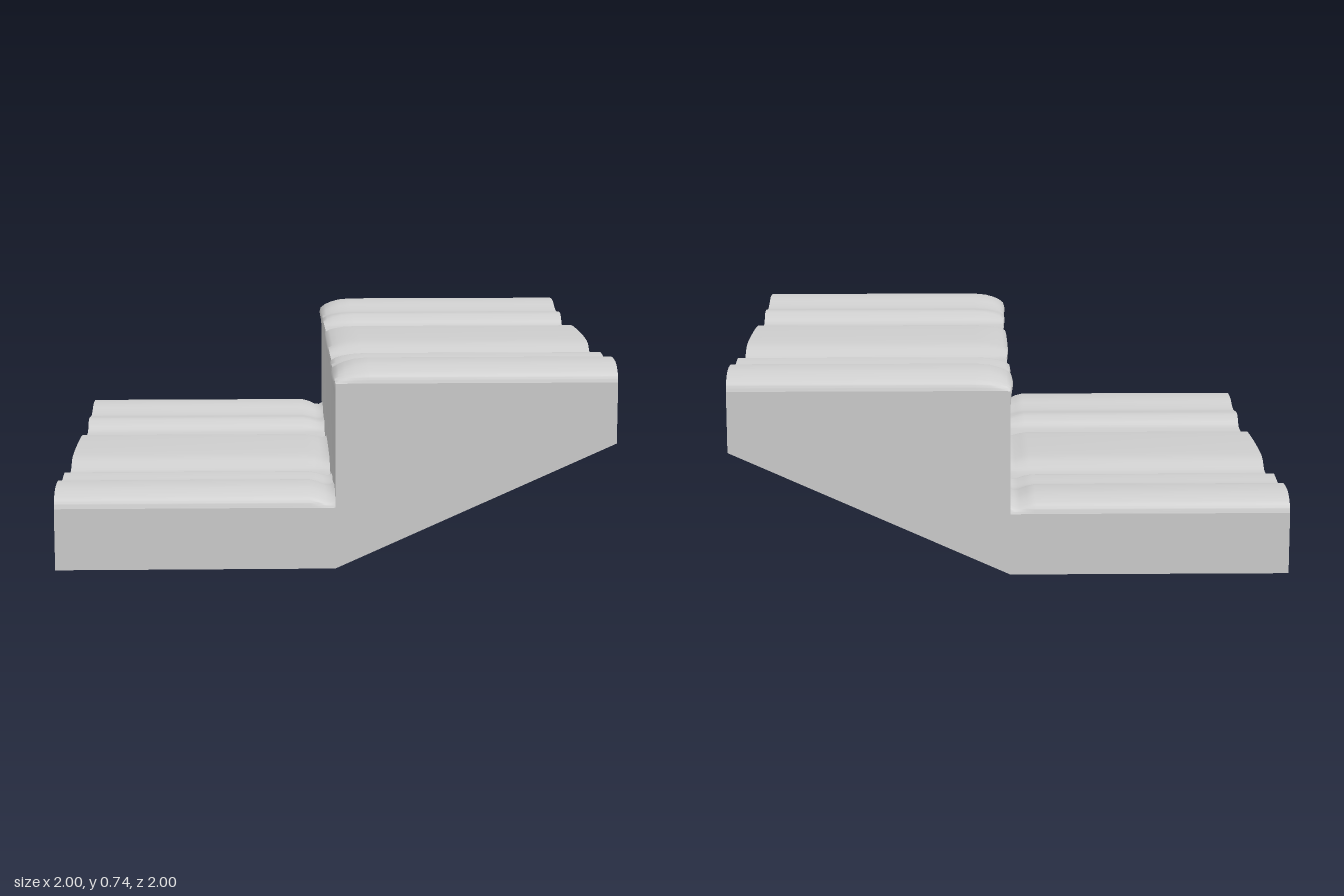
import * as THREE from 'three';
import { toCreasedNormals } from 'three/addons/utils/BufferGeometryUtils.js';

const VALLEY = 0.668; // height of the lowest grooves on the upper step
const STEP = 0.447;   // height difference between the two levels

// Half of the wavy surface profile [z, y], mirrored about z = 0
const half = [
  [1, 0.67], [0.992, 0.693], [0.97, 0.715], [0.94, 0.73], [0.9, 0.737], [0.83, 0.737],
  [0.79, 0.73], [0.75, 0.716], [0.69, 0.705], [0.61, 0.713], [0.56, 0.713], [0.53, 0.697],
  [0.505, 0.674], [0.48, 0.668], [0.315, 0.668], [0.285, 0.684], [0.255, 0.7], [0.2, 0.71],
];
const points = [...half, ...half.slice().reverse().map(([z, y]) => [-z, y])]
  .map(([z, y]) => new THREE.Vector3(0, y, z));
const profile = new THREE.CatmullRomCurve3(points, false, 'centripetal').getPoints(175);

// Stations along x: [x, y of the valley line, share of the relief, overhang of the ridges]
const low = VALLEY - STEP;
const stations = [
  [-1, low, 1, 0], [-0.09, low, 1, 0], [-0.06, low, 0.88, 0], [-0.035, low, 0.7, 0],
  [-0.015, low, 0.66, 0], [0, low, 0.8, 0],
  [0, 0.59, 0, 0], [0, 0.65, 0, 0.1], [0, VALLEY, 0.15, 0.17], [0, VALLEY, 0.4, 0.1],
  [0.012, VALLEY, 0.62, 0], [0.035, VALLEY, 0.78, 0], [0.07, VALLEY, 0.93, 0],
  [0.12, VALLEY, 1, 0], [1, VALLEY, 1, 0],
];
const sectionRow = ([x, y, relief, overhang]) => profile.map((p) => {
  const h = p.y - VALLEY;
  return [x - overhang * h, y + h * relief, p.z];
});
const flatRow = (x, y) => profile.map((p) => [x, y, p.z]);

// Skin between successive rows that run from +z to -z
function ribbon(rows) {
  const n = rows[0].length;
  const index = [];
  for (let i = 0; i < rows.length - 1; i++) {
    for (let j = 0; j < n - 1; j++) {
      const a = i * n + j, b = a + n;
      index.push(a, b, a + 1, b, b + 1, a + 1);
    }
  }
  const geo = new THREE.BufferGeometry();
  geo.setAttribute('position', new THREE.Float32BufferAttribute(rows.flat(2), 3));
  geo.setIndex(index);
  geo.computeVertexNormals();
  return geo;
}

export function createModel() {
  const group = new THREE.Group();
  const grey = new THREE.MeshStandardMaterial({ color: 0xcccccc });
  grey.name = 'grey';
  const add = (name, geo) => {
    const mesh = new THREE.Mesh(geo, grey);
    mesh.name = name;
    group.add(mesh);
  };

  // Wavy top with the cliff between the two levels
  const rows = stations.map(sectionRow);
  add('waveTop', toCreasedNormals(ribbon(rows), 0.8));

  // Ends and the folded underside
  add('lowEnd', ribbon([flatRow(-1, 0), rows[0]]));
  add('highEnd', ribbon([rows[rows.length - 1], flatRow(1, 0.45)]));
  add('underside', ribbon([flatRow(1, 0.45), flatRow(0, 0), flatRow(-1, 0)]));

  // Flat sides that follow the outline of the top
  const outline = [[-1, 0], [0, 0], [1, 0.45], ...rows.map((r) => r[0]).reverse()];
  const shape = new THREE.Shape(outline.map(([x, y]) => new THREE.Vector2(x, y)));
  add('frontSide', new THREE.ShapeGeometry(shape).translate(0, 0, 1));
  const back = new THREE.ShapeGeometry(shape).translate(0, 0, -1);
  back.setIndex(Array.from(back.index.array).reverse());
  back.computeVertexNormals();
  add('backSide', back);

  return group;
}
